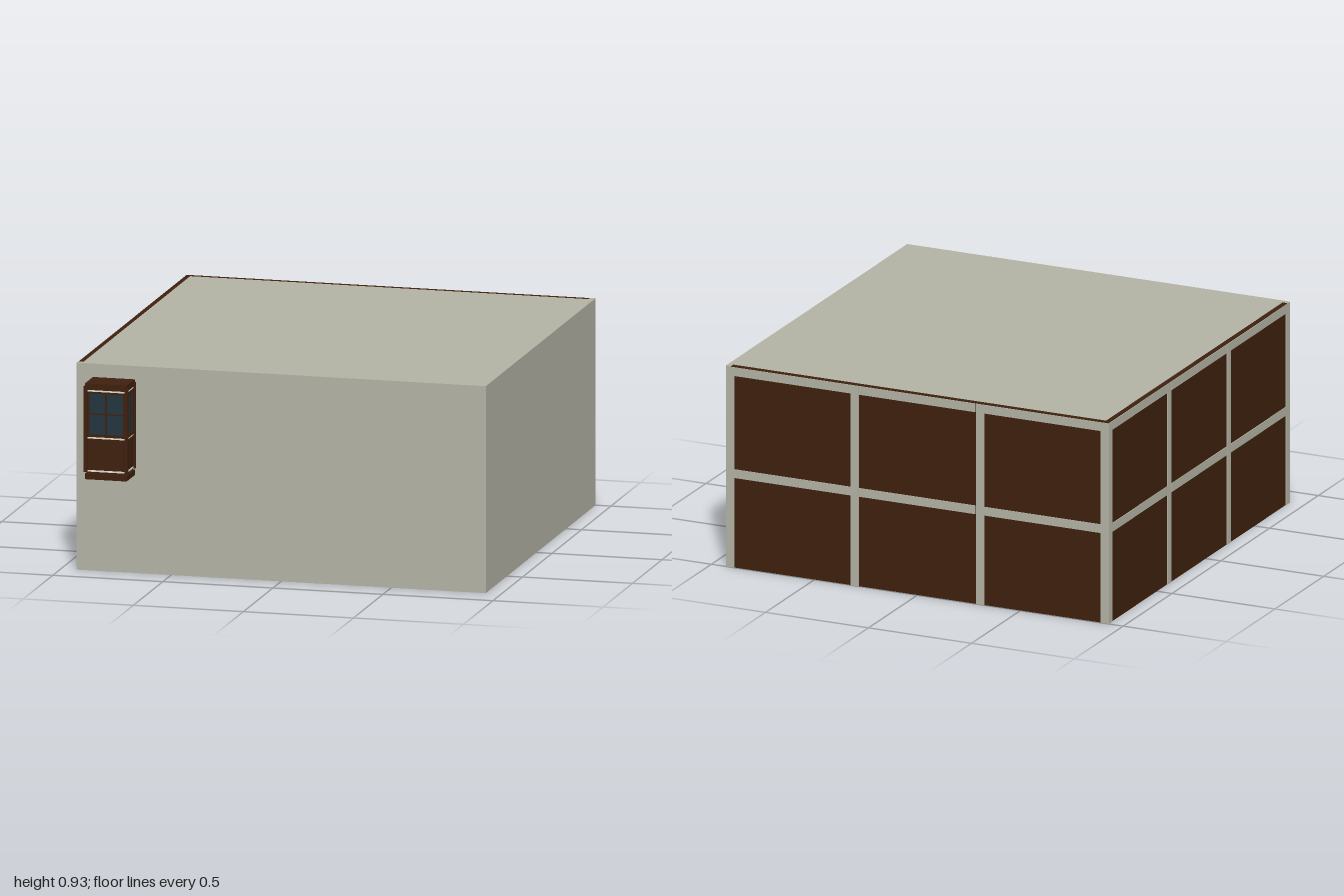
import * as THREE from 'three';

const mat = (name, color) => {
  const m = new THREE.MeshStandardMaterial({ color });
  m.name = name;
  return m;
};

export function createModel() {
  const plaster = mat('plaster', 0xb2b2a4);
  const wood = mat('darkWood', 0x3e200d);
  const glass = mat('glass', 0x24363f);
  const trim = mat('paleTrim', 0xe2dfd2);

  const room = new THREE.Group();
  room.name = 'room';

  // Box given by its two extents on each axis
  const box = (parent, name, material, [x0, x1], [y0, y1], [z0, z1]) => {
    const mesh = new THREE.Mesh(new THREE.BoxGeometry(x1 - x0, y1 - y0, z1 - z0), material);
    mesh.position.set((x0 + x1) / 2, (y0 + y1) / 2, (z0 + z1) / 2);
    mesh.name = name;
    parent.add(mesh);
    return mesh;
  };

  // Shell, open underneath: two plaster walls, two timber walls, a roof
  const H = 0.93, T = 0.025, E = 0.003;
  box(room, 'frontWall', plaster, [-0.93, 0.93], [0, H], [0.86 - T, 0.86]);
  box(room, 'rightWall', plaster, [0.93 - T, 0.93], [0, H], [-1, 0.86 - T]);
  box(room, 'backWall', wood, [-0.93 + E, 0.93 - T], [0, H], [-1 + E, -1 + T]);
  box(room, 'leftWall', wood, [-0.93 + E, -0.93 + T], [0, H], [-1 + T, 0.86 - T]);
  box(room, 'roof', plaster, [-0.93 + T, 0.93 - T], [H - T, H], [-1 + T, 0.86 - T]);

  // Pale battens dividing each timber wall into three by two panels
  const battens = (name) => {
    const g = new THREE.Group();
    g.name = name;
    for (const c of [-0.91, -0.305, 0.305, 0.91])
      box(g, 'uprightBatten', plaster, [c - 0.02, c + 0.02], [0, H - 0.003], [0, E]);
    for (const y of [0.435, 0.907]) {
      for (const c of [-0.6075, 0, 0.6075])
        box(g, 'crossBatten', plaster, [c - 0.2825, c + 0.2825], [y - 0.02, y + 0.02], [0, E]);
    }
    room.add(g);
    return g;
  };
  const back = battens('backBattens');
  back.rotation.y = Math.PI;
  back.position.z = -1 + E;
  const left = battens('leftBattens');
  left.rotation.y = -Math.PI / 2;
  left.position.set(-0.93 + E, 0, -0.07);

  // Small bay window on the front wall
  const bay = new THREE.Group();
  bay.name = 'bayWindow';
  bay.position.x = -0.76;
  room.add(bay);
  box(bay, 'bayBody', wood, [-0.088, 0.088], [0.45, 0.86], [0.86, 0.986]);
  box(bay, 'bayRoof', wood, [-0.095, 0.095], [0.842, 0.87], [0.86, 0.998]);
  box(bay, 'bayBase', wood, [-0.095, 0.095], [0.44, 0.465], [0.86, 0.998]);
  for (const s of [-1, 1]) {
    const x = s * 0.0925;
    box(bay, 'frontPost', wood, [x - 0.0075, x + 0.0075], [0.472, 0.858], [0.985, 1]);
    box(bay, 'wallPost', wood, [x - 0.0075, x + 0.0075], [0.472, 0.858], [0.86, 0.87]);
  }

  // One glazed face of the bay, built around its own centre and facing +z
  const face = (name, w) => {
    const g = new THREE.Group();
    g.name = name;
    const span = [-w, w];
    box(g, 'lowerPanel', wood, [-w + 0.005, w - 0.005], [0.485, 0.617], [0, 0.006]);
    box(g, 'glassPane', glass, span, [0.642, 0.83], [0, 0.003]);
    box(g, 'windowSill', wood, span, [0.63, 0.642], [0, 0.007]);
    box(g, 'windowHead', wood, span, [0.825, 0.832], [0, 0.007]);
    box(g, 'uprightBar', wood, [-0.004, 0.004], [0.642, 0.825], [0, 0.006]);
    box(g, 'crossBar', wood, span, [0.73, 0.736], [0, 0.005]);
    for (const s of [-1, 1])
      box(g, 'sideBar', wood, [s * (w - 0.004) - 0.004, s * (w - 0.004) + 0.004],
        [0.642, 0.825], [0, 0.006]);
    for (const y of [0.473, 0.622, 0.833])
      box(g, 'paleLine', trim, span, [y, y + 0.007], [0, 0.004]);
    bay.add(g);
    return g;
  };
  face('bayFront', 0.084).position.z = 0.986;
  for (const s of [-1, 1]) {
    const side = face('baySide', 0.057);
    side.rotation.y = s * Math.PI / 2;
    side.position.set(s * 0.088, 0, 0.9275);
  }

  return room;
}
